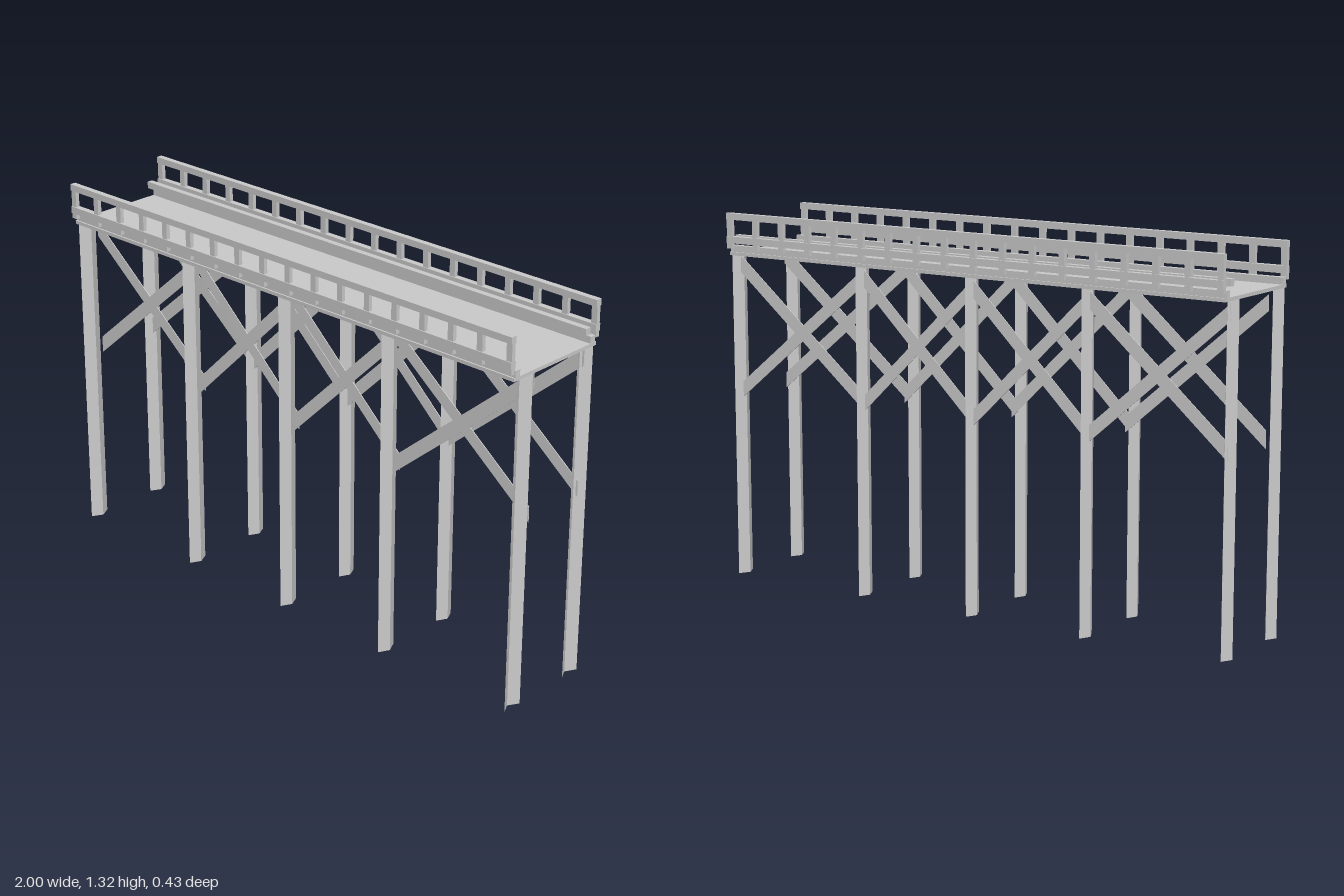
import * as THREE from 'three';

const grey = new THREE.MeshStandardMaterial({ color: 0xcccccc, flatShading: true });
const greyOpen = new THREE.MeshStandardMaterial({ color: 0xcccccc, flatShading: true, side: THREE.DoubleSide });

const POST_X = [-1, -0.468, -0.01, 0.449, 1];
const POST_Z = 0.148;
const POST_TOP = 1.168;
const HALF_W = 0.019, HALF_D = 0.0385;

// Box given by its limits on each axis
function beam(parent, name, [x0, x1], [y0, y1], [z0, z1]) {
  const mesh = new THREE.Mesh(new THREE.BoxGeometry(x1 - x0, y1 - y0, z1 - z0), grey);
  mesh.position.set((x0 + x1) / 2, (y0 + y1) / 2, (z0 + z1) / 2);
  mesh.name = name;
  parent.add(mesh);
}

// Full diamond-section post
function diamondPost() {
  const geo = new THREE.CylinderGeometry(1, 1, POST_TOP, 4);
  geo.scale(HALF_W, 1, HALF_D);
  return new THREE.Mesh(geo, grey);
}

// Open half of a diamond post; its point faces inward (dir = -1 or 1 along x)
function halfPost(dir) {
  const h = POST_TOP / 2, w = dir * HALF_W * 1.1;
  const section = [[0, HALF_D], [w, 0], [0, -HALF_D]];
  const pos = [], index = [];
  for (const [x, z] of section) pos.push(x, -h, z, x, h, z);
  for (let i = 0; i < 2; i++) {
    const a = i * 2;
    if (dir > 0) index.push(a, a + 2, a + 3, a, a + 3, a + 1);
    else index.push(a, a + 3, a + 2, a, a + 1, a + 3);
  }
  const geo = new THREE.BufferGeometry();
  geo.setAttribute('position', new THREE.Float32BufferAttribute(pos, 3));
  geo.setIndex(index);
  geo.computeVertexNormals();
  return new THREE.Mesh(geo, greyOpen);
}

// Thin plank with vertical end cuts, drifting slightly in z from end to end
function brace(x0, y0, x1, y1, zMid, height) {
  const h = height / 2;
  const shape = new THREE.Shape([
    new THREE.Vector2(x0, y0 - h), new THREE.Vector2(x1, y1 - h),
    new THREE.Vector2(x1, y1 + h), new THREE.Vector2(x0, y0 + h),
  ]);
  const geo = new THREE.ExtrudeGeometry(shape, { depth: 0.003, bevelEnabled: false });
  const p = geo.attributes.position;
  for (let i = 0; i < p.count; i++) {
    const t = (p.getX(i) - x0) / (x1 - x0);
    p.setZ(i, p.getZ(i) - 0.0015 + zMid + 0.01 - 0.02 * t);
  }
  geo.computeVertexNormals();
  const mesh = new THREE.Mesh(geo, grey);
  mesh.name = 'crossBrace';
  return mesh;
}

export function createModel() {
  const model = new THREE.Group();
  model.name = 'trestleBridge';

  // Deck and curbs
  const deck = new THREE.Group();
  deck.name = 'deck';
  beam(deck, 'deckSlab', [-1, 1], [1.165, 1.177], [-0.2, 0.2]);
  for (const s of [-1, 1]) {
    beam(deck, 'curb', [-1, 1], [1.175, 1.2], [s * 0.183 - 0.011, s * 0.183 + 0.011]);
  }
  beam(deck, 'innerRail', [-1, 1], [1.21, 1.234], [-0.168, -0.146]);
  model.add(deck);

  // Railings
  for (const s of [-1, 1]) {
    const railing = new THREE.Group();
    railing.name = s > 0 ? 'frontRailing' : 'backRailing';
    const z = s * 0.206;
    const railZ = [z - 0.011, z + 0.011];
    beam(railing, 'topRail', [-1, 1], [1.293, 1.316], railZ);
    beam(railing, 'lowerRail', [-1, 1], [1.21, 1.234], railZ);
    for (let i = 0; i < 18; i++) {
      const x = -0.989 + i * (1.978 / 17);
      beam(railing, 'railPost', [x - 0.011, x + 0.011], [1.19, 1.3], [z - 0.0075, z + 0.0075]);
    }
    model.add(railing);
  }

  // Support rows: posts and cross braces
  for (const s of [-1, 1]) {
    const row = new THREE.Group();
    row.name = s > 0 ? 'frontSupports' : 'backSupports';
    POST_X.forEach((x, i) => {
      const post = i === 0 ? halfPost(1) : i === 4 ? halfPost(-1) : diamondPost();
      post.position.set(x, POST_TOP / 2, s * POST_Z);
      post.name = 'post';
      row.add(post);
    });
    const zMid = s > 0 ? 0.1 : -0.147;
    for (let i = 0; i < 4; i++) {
      const x0 = i === 0 ? -0.985 : POST_X[i];
      const x1 = i === 3 ? 0.99 : POST_X[i + 1];
      row.add(brace(x0, 0.68, x1, 1.135, zMid, 0.06));
      row.add(brace(x0, 1.125, x1, 0.675, zMid, 0.055));
    }
    model.add(row);
  }
  return model;
}
